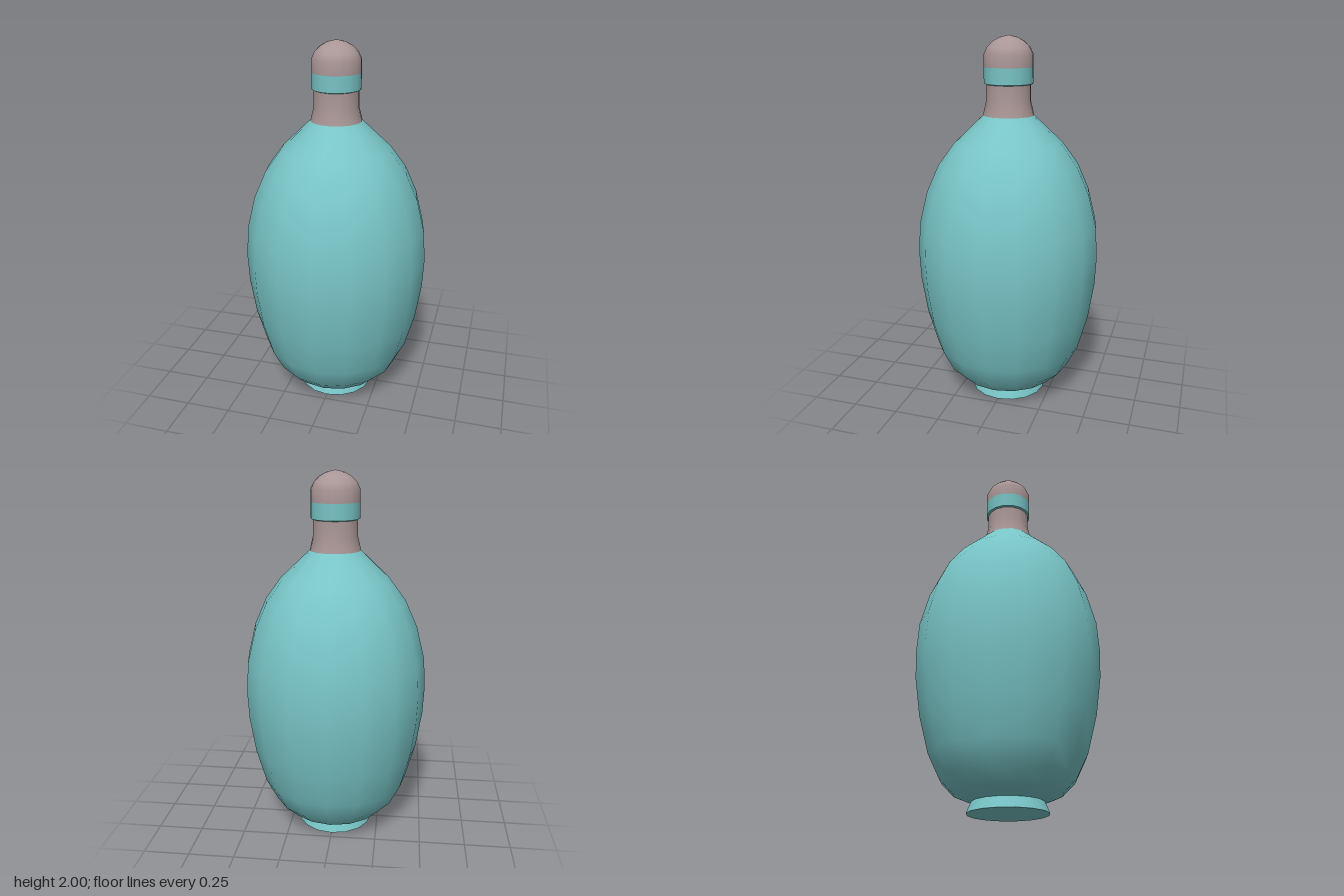
import * as THREE from 'three';

const SIDES = 16;

export function createModel() {
  const glaze = new THREE.MeshStandardMaterial({ color: 0x78c4c6 });
  glaze.name = 'teal glaze';
  const clay = new THREE.MeshStandardMaterial({ color: 0xaa9696 });
  clay.name = 'mauve clay';

  const model = new THREE.Group();
  model.name = 'bottle';

  // Turned part from a [radius, height] profile running bottom to top
  function turned(name, material, profile) {
    const points = profile.map(([r, y]) => new THREE.Vector2(r, y));
    const mesh = new THREE.Mesh(new THREE.LatheGeometry(points, SIDES), material);
    mesh.name = name;
    model.add(mesh);
  }

  // Flared foot and its flat underside
  turned('footBase', glaze, [[0, 0], [0.21, 0]]);
  turned('foot', glaze, [[0.21, 0], [0.185, 0.06]]);

  // Egg-shaped body
  turned('body', glaze, [
    [0.18, 0.055], [0.28, 0.095], [0.35, 0.165], [0.41, 0.285], [0.463, 0.48],
    [0.493, 0.68], [0.5, 0.83], [0.49, 1.0], [0.445, 1.18], [0.38, 1.325],
    [0.295, 1.44], [0.137, 1.59],
  ]);

  // Neck with a flared collar
  turned('neck', clay, [[0.137, 1.59], [0.12, 1.66], [0.119, 1.755]]);

  // Painted ring with its underside
  turned('ringUnderside', glaze, [[0.117, 1.75], [0.13, 1.755]]);
  turned('ring', glaze, [[0.13, 1.755], [0.131, 1.84]]);

  // Domed stopper
  turned('stopper', clay, [
    [0.131, 1.84], [0.13, 1.905], [0.113, 1.94], [0.085, 1.968], [0.05, 1.988], [0, 2],
  ]);

  return model;
}
